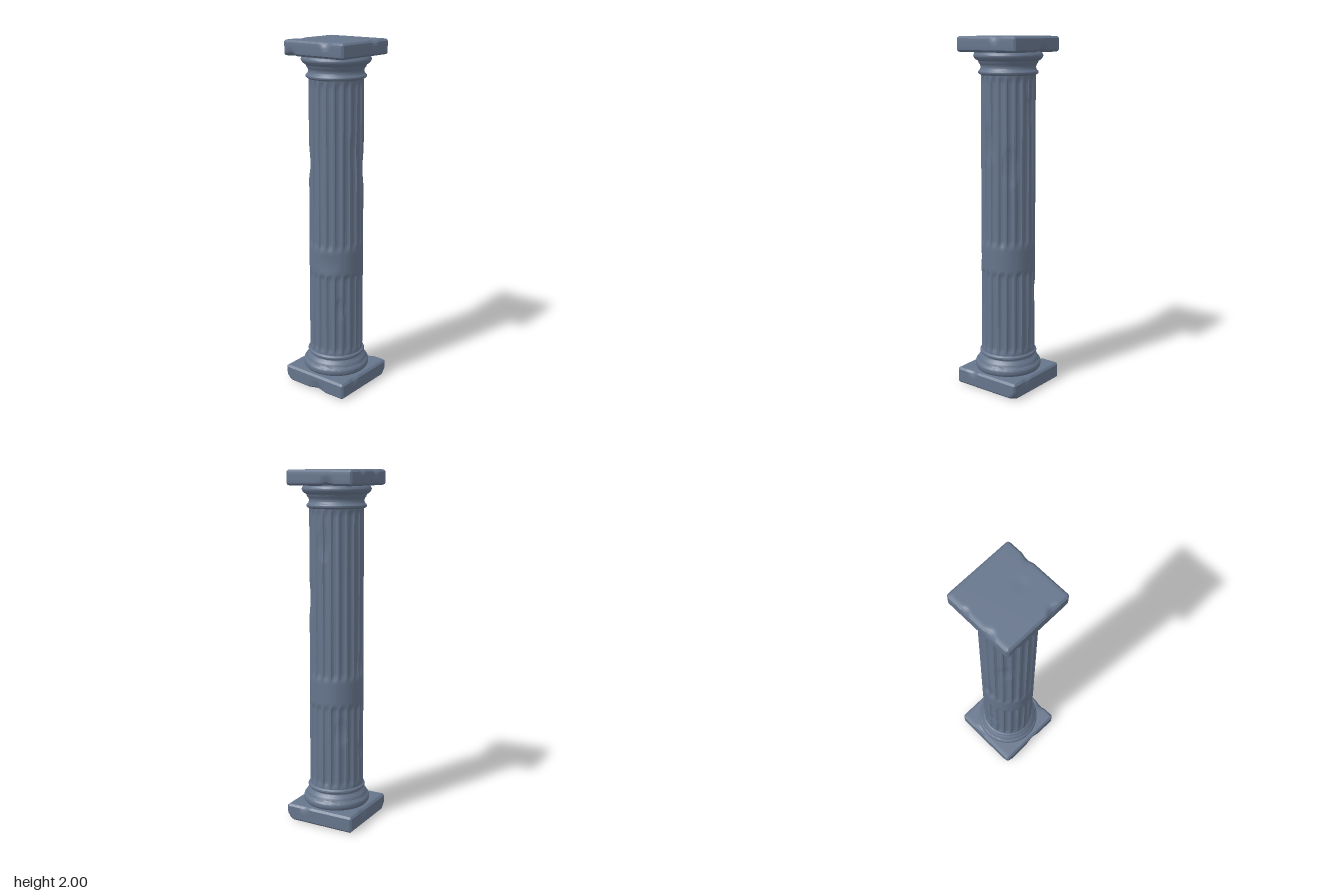
import * as THREE from 'three';
import { toCreasedNormals } from 'three/addons/utils/BufferGeometryUtils.js';

const stone = new THREE.MeshStandardMaterial({ color: 0x66758c });
stone.name = 'slate stone';

// Moves every vertex by a rule, then rebuilds normals with sharp creases
function sculpt(geometry, rule, crease) {
  const pos = geometry.attributes.position;
  const p = new THREE.Vector3();
  for (let i = 0; i < pos.count; i++) {
    rule(p.fromBufferAttribute(pos, i));
    pos.setXYZ(i, p.x, p.y, p.z);
  }
  return toCreasedNormals(geometry, crease);
}

function addPart(group, name, geometry) {
  const mesh = new THREE.Mesh(geometry, stone);
  mesh.name = name;
  group.add(mesh);
  return mesh;
}

// Square block with chamfered edges and worn chips: [x, y, z, radius, depth]
function slab(half, height, bevel, chips) {
  const size = new THREE.Vector3(half, height / 2, half);
  const axes = ['x', 'y', 'z'];
  const centre = new THREE.Vector3();
  return sculpt(new THREE.BoxGeometry(half * 2, height, half * 2, 42, 8, 42), (p) => {
    // Pull points beyond each chamfer plane back onto it
    for (let i = 0; i < 3; i++) {
      const a = axes[i], b = axes[(i + 1) % 3];
      const over = Math.abs(p[a]) + Math.abs(p[b]) - (size[a] + size[b] - bevel);
      if (over > 0) {
        p[a] -= Math.sign(p[a]) * over / 2;
        p[b] -= Math.sign(p[b]) * over / 2;
      }
    }
    for (const [x, y, z, r, depth] of chips) {
      const d = p.distanceTo(centre.set(x, y, z));
      if (d >= r) continue;
      const push = depth * (1 - d / r);
      if (Math.abs(x) > half * 0.9) p.x -= Math.sign(x) * push;
      if (Math.abs(z) > half * 0.9) p.z -= Math.sign(z) * push;
      p.y -= Math.sign(y) * push * 0.6;
    }
  }, 0.5);
}

// Turned moulding from a smooth profile of [radius, height] points
function moulding(points) {
  const curve = new THREE.SplineCurve(points.map(([r, y]) => new THREE.Vector2(r, y)));
  return toCreasedNormals(new THREE.LatheGeometry(curve.getPoints(40), 72), 0.9);
}

// Shaft with two tiers of round-ended flutes and a plain band between them
function shaft() {
  const bottom = 0.17, top = 1.84, flutes = 20;
  const tiers = [[0.22, 0.7], [0.85, 1.785]];
  // Worn spots: angle from +x toward +z, height, width, length, depth
  const dents = [
    [3.1, 0.92, 0.35, 0.08, 0.007], [3.0, 0.42, 0.3, 0.06, 0.008],
    [0.1, 1.42, 0.3, 0.12, 0.006], [2.4, 1.33, 0.3, 0.1, 0.01],
    [-0.8, 1.3, 0.35, 0.12, 0.008], [1.2, 0.77, 0.5, 0.06, 0.004],
    [-1.6, 1.6, 0.3, 0.1, 0.006], [-2.3, 0.55, 0.3, 0.08, 0.007],
    [0.7, 0.5, 0.25, 0.07, 0.006],
  ];
  const geometry = new THREE.CylinderGeometry(1, 1, top - bottom, flutes * 10, 110, true);
  geometry.translate(0, (top + bottom) / 2, 0);
  return sculpt(geometry, (p) => {
    const angle = Math.atan2(p.z, p.x);
    const step = (angle / (Math.PI * 2) + 1) * flutes;
    const across = Math.abs(step - Math.floor(step) - 0.5) / 0.38;
    let r = 0.155 - 0.004 * (p.y - bottom) / (top - bottom);
    for (const [low, high] of tiers) {
      const inside = Math.min(p.y - low, high - p.y);
      if (inside <= 0 || across >= 1) continue;
      const end = Math.min(1, inside / 0.025);
      const wear = 0.85 + 0.15 * Math.sin(Math.floor(step) * 2.3 + p.y * 5);
      r -= 0.011 * Math.sqrt(1 - across * across) * Math.sqrt(end) * wear;
    }
    for (const [a, y, width, length, depth] of dents) {
      const da = Math.atan2(Math.sin(angle - a), Math.cos(angle - a)) / width;
      const dy = (p.y - y) / length;
      r -= depth * Math.max(0, 1 - da * da - dy * dy);
    }
    p.x = Math.cos(angle) * r;
    p.z = Math.sin(angle) * r;
  }, 0.7);
}

export function createModel() {
  const column = new THREE.Group();
  column.name = 'column';

  // Square blocks at both ends, turned slightly
  const plinth = addPart(column, 'plinth', slab(0.213, 0.095, 0.012, [
    [0.02, -0.047, 0.213, 0.06, 0.012], [0.213, 0.047, 0.1, 0.04, 0.012],
    [-0.213, 0.047, -0.06, 0.05, 0.012], [0.1, 0.047, -0.213, 0.04, 0.01],
    [-0.213, -0.047, 0.213, 0.04, 0.012], [0.213, -0.047, -0.213, 0.04, 0.012],
  ]));
  plinth.position.y = 0.0475;
  const abacus = addPart(column, 'abacus', slab(0.203, 0.085, 0.013, [
    [0.09, 0.042, 0.203, 0.04, 0.014], [0.203, 0.042, -0.07, 0.04, 0.01],
    [-0.203, 0.042, 0.08, 0.04, 0.012], [-0.203, 0.042, -0.08, 0.03, 0.01],
    [-0.15, -0.042, 0.203, 0.04, 0.012], [0.08, 0.042, 0.0, 0.05, 0.005],
    [-0.05, -0.042, -0.203, 0.05, 0.012],
  ]));
  abacus.position.y = 1.9575;
  plinth.rotation.y = abacus.rotation.y = 0.037;

  // Stepped rings joining the shaft to the blocks
  addPart(column, 'base moulding', moulding([
    [0.17, 0.085], [0.187, 0.1], [0.192, 0.118], [0.187, 0.136], [0.177, 0.143],
    [0.174, 0.155], [0.164, 0.168], [0.155, 0.178], [0.156, 0.184], [0.164, 0.19],
    [0.165, 0.198], [0.158, 0.206], [0.147, 0.212],
  ]));
  addPart(column, 'shaft', shaft());
  addPart(column, 'capital moulding', moulding([
    [0.145, 1.79], [0.156, 1.795], [0.165, 1.802], [0.165, 1.812], [0.157, 1.82],
    [0.153, 1.83], [0.154, 1.845], [0.163, 1.858], [0.166, 1.868], [0.178, 1.875],
    [0.189, 1.888], [0.191, 1.9], [0.184, 1.912], [0.17, 1.922],
  ]));
  return column;
}
